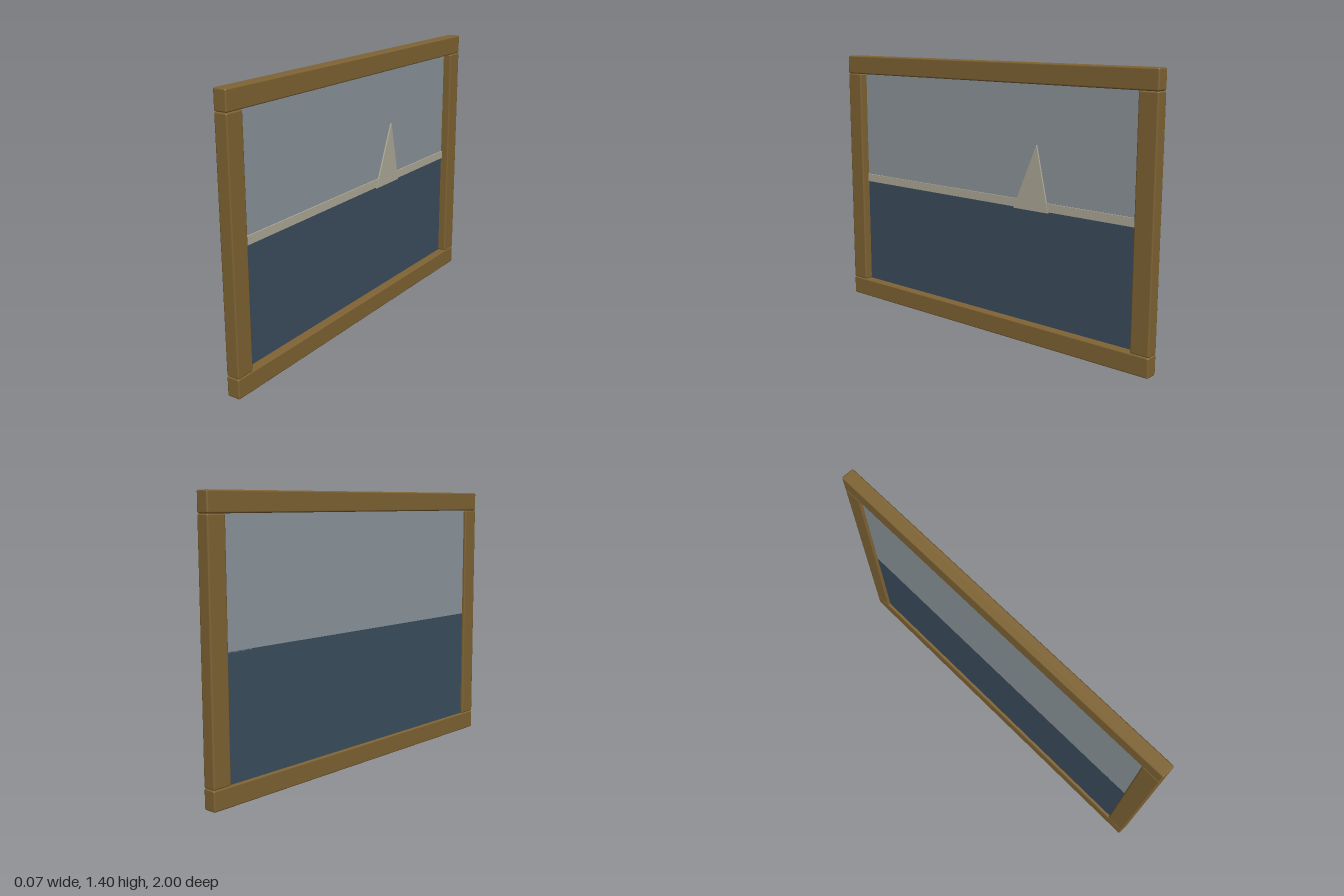
import * as THREE from 'three';
import { RoundedBoxGeometry } from 'three/addons/geometries/RoundedBoxGeometry.js';

export function createModel() {
  const model = new THREE.Group();
  model.name = 'framedSeascape';

  const material = (name, color) => {
    const m = new THREE.MeshStandardMaterial({ color });
    m.name = name;
    return m;
  };
  const wood = material('wood', 0x806434);
  const skyPaint = material('skyGrey', 0x8e979d);
  const seaPaint = material('seaBlue', 0x3c4e5f);
  const cream = material('cream', 0xb0ac9a);

  const add = (name, geometry, mat, x, y, z) => {
    const mesh = new THREE.Mesh(geometry, mat);
    mesh.name = name;
    mesh.position.set(x, y, z);
    model.add(mesh);
    return mesh;
  };

  // Frame: two full-length rails with two posts between them, edges chamfered
  const depth = 0.07, bevel = 0.008;
  for (const [name, y] of [['bottomRail', 0.05], ['topRail', 1.35]]) {
    add(name, new RoundedBoxGeometry(depth, 0.1, 2, 1, bevel), wood, 0, y, 0);
  }
  for (const [name, z] of [['frontPost', 0.95], ['backPost', -0.95]]) {
    add(name, new RoundedBoxGeometry(depth, 1.2, 0.1, 1, bevel), wood, 0, 0.7, z);
  }

  // Picture panel, set back in the frame: sky above, sea below
  const panelX = -0.015, panelDepth = 0.01;
  add('sky', new THREE.BoxGeometry(panelDepth, 0.61, 1.81), skyPaint, panelX, 1.0, 0);
  add('sea', new THREE.BoxGeometry(panelDepth, 0.61, 1.81), seaPaint, panelX, 0.395, 0);

  // Pale band along the horizon
  add('horizonBand', new THREE.BoxGeometry(0.006, 0.043, 1.81), cream, -0.007, 0.7045, 0);

  // Sail: thin triangle drawn in (-z, y), turned to face +x
  const sailShape = new THREE.Shape([
    new THREE.Vector2(0.182, 0.677),
    new THREE.Vector2(0.397, 0.677),
    new THREE.Vector2(0.322, 1.005),
  ]);
  const sail = add('sail',
    new THREE.ExtrudeGeometry(sailShape, { depth: 0.008, bevelEnabled: false }),
    cream, -0.01, 0, 0);
  sail.rotation.y = Math.PI / 2;

  return model;
}
